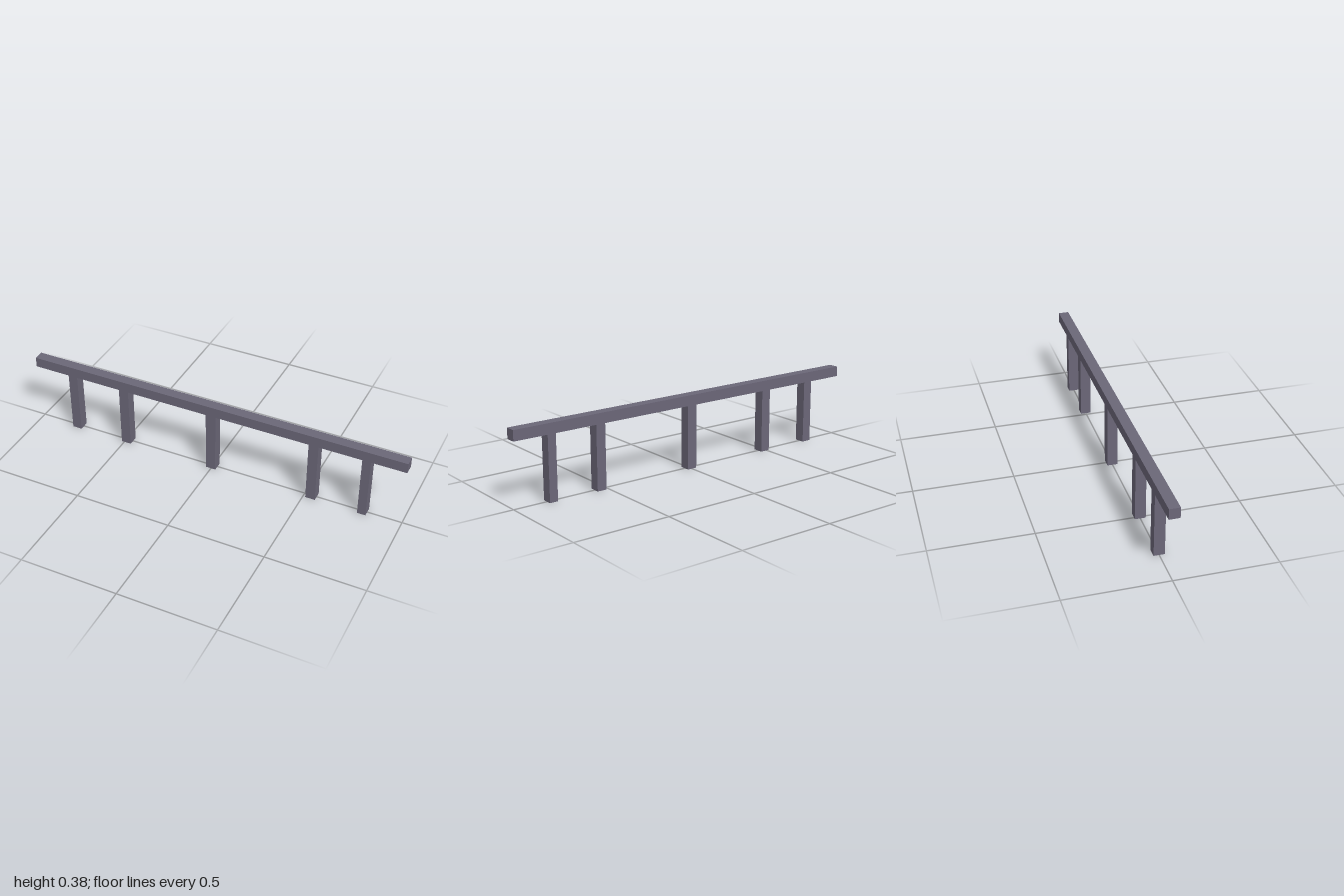
import * as THREE from 'three';

export function createModel() {
  const model = new THREE.Group();
  model.name = 'fence';
  const material = new THREE.MeshStandardMaterial({ color: 0x6b6778 });
  const height = 0.38, railHeight = 0.053, depth = 0.053;
  const postHeight = height - railHeight;

  const addBox = (name, width, boxHeight, x, y) => {
    const mesh = new THREE.Mesh(new THREE.BoxGeometry(width, boxHeight, depth), material);
    mesh.name = name;
    mesh.position.set(x, y, 0);
    model.add(mesh);
  };

  // Long top rail
  addBox('rail', 2, railHeight, 0, height - railHeight / 2);

  // Unevenly spaced posts: [centre x, width]
  const posts = [[-0.783, 0.05], [-0.488, 0.052], [-0.002, 0.052], [0.538, 0.05], [0.803, 0.043]];
  posts.forEach(([x, width], i) => addBox(`post${i + 1}`, width, postHeight, x, postHeight / 2));

  return model;
}
